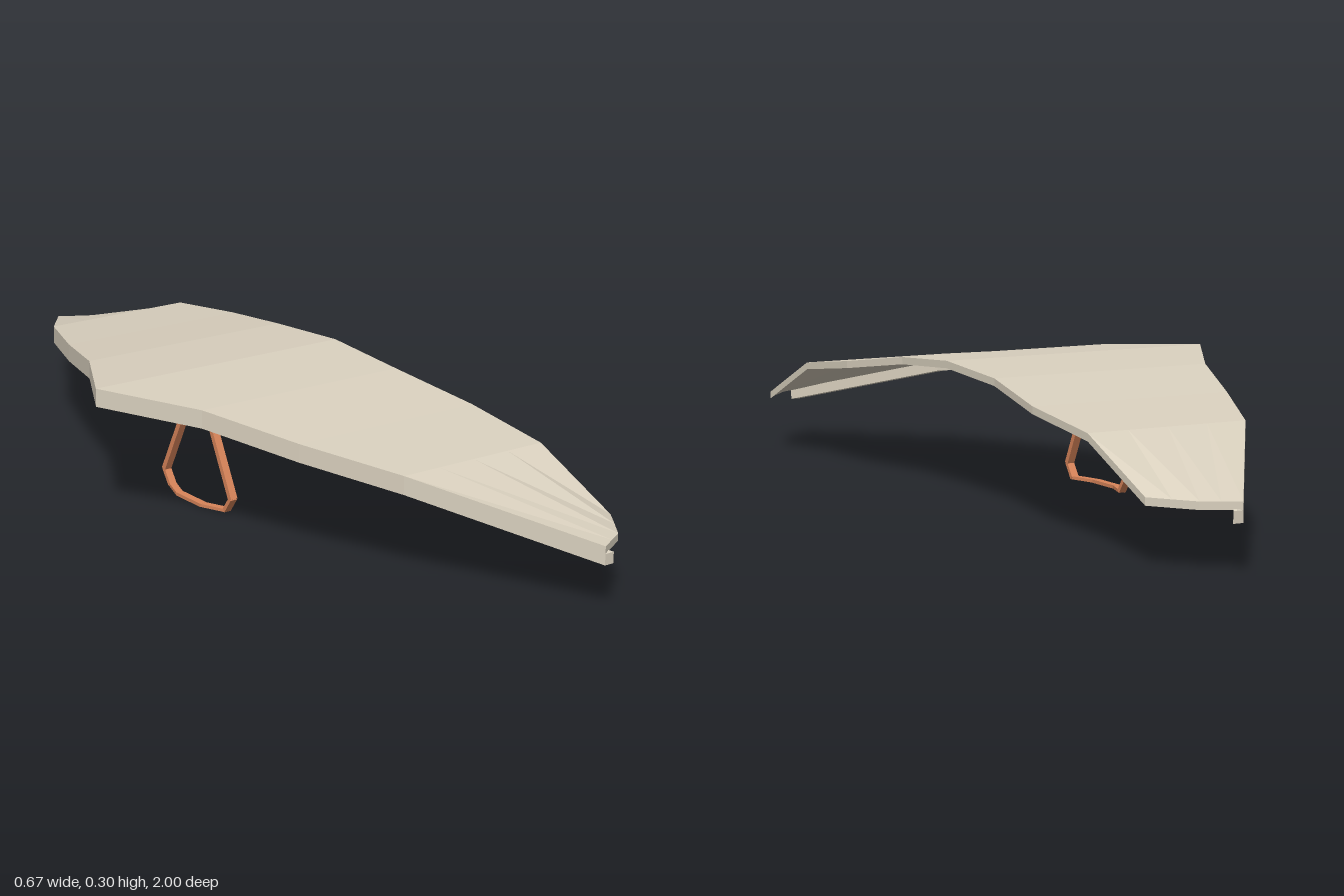
import * as THREE from 'three';

// Closed shell from a grid of top points (rows run +z, columns run +x), hung between two drops below it
function shell(rows, topDrop, bottomDrop) {
  const pos = [];
  const at = (p, drop) => [p[0], p[1] - drop, p[2]];
  const quad = (a, b, c, d) => pos.push(...a, ...b, ...c, ...a, ...c, ...d);
  const n = rows.length - 1, m = rows[0].length - 1;
  for (let i = 0; i < n; i++) {
    for (let j = 0; j < m; j++) {
      const c = [rows[i][j], rows[i + 1][j], rows[i + 1][j + 1], rows[i][j + 1]];
      quad(...c.map(p => at(p, topDrop)));
      quad(...c.map(p => at(p, bottomDrop)).reverse());
    }
  }
  // Rim: leading edge, far tip, trailing edge, near tip
  const rim = [
    ...rows.map(r => r[0]),
    ...rows[n].slice(1),
    ...rows.slice(0, n).reverse().map(r => r[m]),
    ...rows[0].slice(1, m).reverse(),
  ];
  rim.forEach((a, k) => {
    const b = rim[(k + 1) % rim.length];
    quad(at(a, bottomDrop), at(b, bottomDrop), at(b, topDrop), at(a, topDrop));
  });
  const geo = new THREE.BufferGeometry();
  geo.setAttribute('position', new THREE.Float32BufferAttribute(pos, 3));
  geo.computeVertexNormals();
  return geo;
}

// Square-cut bar between two points, w wide sideways and t thick
function bar(a, b, w, t, material, name) {
  const A = new THREE.Vector3(...a), B = new THREE.Vector3(...b);
  const mesh = new THREE.Mesh(new THREE.BoxGeometry(w, t, A.distanceTo(B) + t * 0.3), material);
  const dir = B.clone().sub(A).normalize();
  const side = new THREE.Vector3(0, 1, 0).cross(dir).normalize();
  mesh.quaternion.setFromRotationMatrix(
    new THREE.Matrix4().makeBasis(side, dir.clone().cross(side), dir));
  mesh.position.copy(A).add(B).multiplyScalar(0.5);
  mesh.name = name;
  return mesh;
}

export function createModel() {
  const group = new THREE.Group();
  group.name = 'hangGlider';
  const cloth = new THREE.MeshStandardMaterial({ color: 0xd9d0be });
  cloth.name = 'sail cream';
  const copper = new THREE.MeshStandardMaterial({ color: 0xd9855a });
  copper.name = 'frame copper';

  // Half-wing ribs: z, height, leading x, trailing x
  const ribs = [
    [0, 0.3, -0.333, 0.302],
    [0.215, 0.286, -0.211, 0.302],
    [0.435, 0.256, -0.125, 0.333],
    [0.655, 0.23, -0.028, 0.333],
  ];
  const tip = [[0.2, 1], [0.235, 0.98], [0.27, 0.96], [0.302, 0.915], [0.333, 0.87]];
  const half = ribs.map(([z, y, x0, x1]) =>
    tip.map((_, j) => [x0 + (x1 - x0) * j / 4, y, z]));
  half.push(tip.map(([x, z]) => [x, 0.137, z]));
  const mirrored = rows => [
    ...rows.slice(1).reverse().map(r => r.map(([x, y, z]) => [x, y, -z])),
    ...rows,
  ];

  // Thin sail
  const sail = new THREE.Mesh(shell(mirrored(half), 0, 0.016), cloth);
  sail.name = 'sail';
  group.add(sail);

  // Deeper lip along the leading edge
  const lipRows = half.map(r => [r[0], [r[0][0] + 0.022, r[0][1], r[0][2]]]);
  const lip = new THREE.Mesh(shell(mirrored(lipRows), 0.016, 0.04), cloth);
  lip.name = 'leadingEdge';
  group.add(lip);

  // Keel from the nose to the top of the control frame
  group.add(bar([-0.315, 0.279, 0], [-0.062, 0.279, 0], 0.016, 0.012, copper, 'keel'));

  // Triangular control frame with a hand bar bowed towards the nose
  const frame = new THREE.Group();
  frame.name = 'controlFrame';
  for (const s of [1, -1]) {
    const path = [[-0.069, 0.28, 0.003 * s], [-0.069, 0.036, 0.126 * s],
      [-0.069, 0.005, 0.104 * s], [-0.09, 0.0038, 0.045 * s]];
    frame.add(bar(path[0], path[1], 0.017, 0.012, copper, 'downTube'));
    frame.add(bar(path[1], path[2], 0.017, 0.009, copper, 'frameCorner'));
    frame.add(bar(path[2], path[3], 0.016, 0.007, copper, 'handBarEnd'));
  }
  frame.add(bar([-0.09, 0.0038, -0.045], [-0.09, 0.0038, 0.045], 0.017, 0.0075, copper, 'handBar'));
  group.add(frame);
  return group;
}
